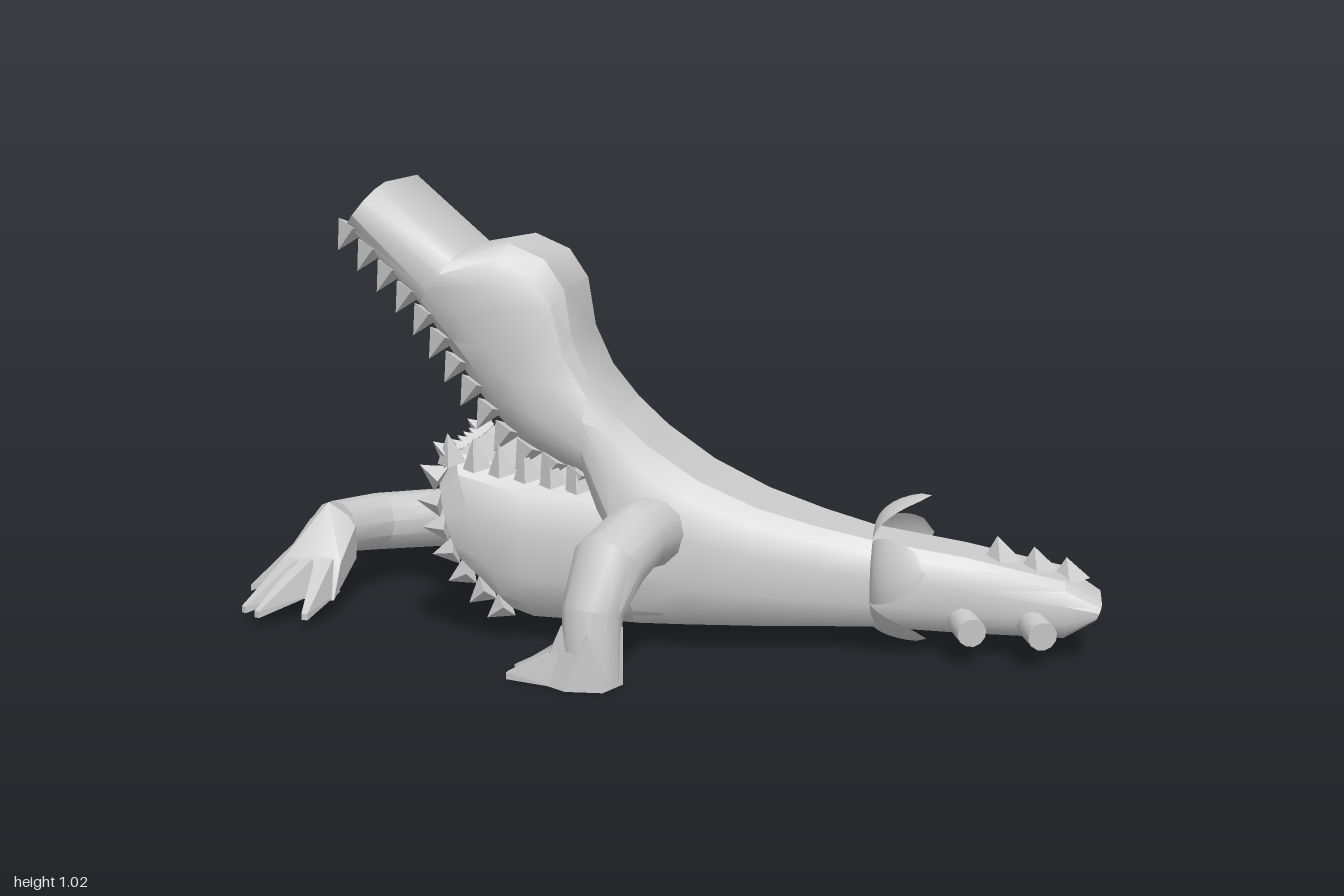
import * as THREE from 'three';
import { toCreasedNormals } from 'three/addons/utils/BufferGeometryUtils.js';
import { ConvexGeometry } from 'three/addons/geometries/ConvexGeometry.js';

const mat = new THREE.MeshStandardMaterial({ color: 0xcccccc });
const flatMat = new THREE.MeshStandardMaterial({ color: 0xcccccc, flatShading: true });
const thinMat = new THREE.MeshStandardMaterial({ color: 0xcccccc, side: THREE.DoubleSide });
const V = (x, y, z) => new THREE.Vector3(x, y, z);

function add(parent, name, geometry, material = mat) {
  const mesh = new THREE.Mesh(geometry, material);
  mesh.name = name;
  parent.add(mesh);
  return mesh;
}

// Skin over rings of n points each, closed at both ends
function skin(pos, n, crease) {
  const idx = [], last = pos.length / 3 - n;
  for (let i = 0; i < last; i += n)
    for (let j = 0; j < n; j++) {
      const a = i + j, b = i + (j + 1) % n;
      idx.push(a, b, a + n, b, b + n, a + n);
    }
  for (let j = 1; j < n - 1; j++) idx.push(0, j + 1, j, last, last + j, last + j + 1);
  const g = new THREE.BufferGeometry();
  g.setAttribute('position', new THREE.Float32BufferAttribute(pos, 3));
  g.setIndex(idx);
  return toCreasedNormals(g, crease);
}

// Half cross-section: [height fraction, width fraction], bottom to top
const half = [[0, 0.72], [0.1, 0.9], [0.3, 1], [0.62, 1], [0.87, 0.88], [1, 0.68]];
const section = [...half, ...half.slice().reverse().map(([v, w]) => [v, -w])];

// Stations: [topX, topY, bottomX, bottomY, halfWidth]
function loft(stations) {
  const pos = [];
  for (const [tx, ty, bx, by, w] of stations)
    for (const [v, z] of section) pos.push(bx + (tx - bx) * v, by + (ty - by) * v, z * w);
  return skin(pos, section.length, 0.6);
}

// Straight-segmented limb through joints [x, y, z, radius], with mitred rings
function limb(joints) {
  const pos = [], n = 12, pts = joints.map(j => V(j[0], j[1], j[2]));
  const normal = V(0, 1, 0);
  pts.forEach((p, i) => {
    const t = V(0, 0, 0);
    if (i > 0) t.add(p.clone().sub(pts[i - 1]).normalize());
    if (i < pts.length - 1) t.add(pts[i + 1].clone().sub(p).normalize());
    t.normalize();
    normal.addScaledVector(t, -normal.dot(t)).normalize();
    const side = t.clone().cross(normal);
    for (let j = 0; j < n; j++) {
      const a = j / n * Math.PI * 2, r = joints[i][3];
      pos.push(...p.clone().addScaledVector(normal, Math.cos(a) * r).addScaledVector(side, Math.sin(a) * r));
    }
  });
  return skin(pos, n, 0.6);
}

// Spike standing at p and pointing along dir
function spike(parent, name, p, dir, r, h) {
  const m = add(parent, name, new THREE.ConeGeometry(r, h, 4).translate(0, h / 2, 0), flatMat);
  m.position.copy(p);
  m.quaternion.setFromUnitVectors(V(0, 1, 0), dir.clone().normalize());
}

// Limb with a palm and wedge-shaped fingers; a finger runs from its knuckle to its tip
function arm(name, joints, palm, fingers) {
  const g = new THREE.Group();
  g.name = name;
  add(g, 'limb', limb(joints));
  add(g, 'palm', toCreasedNormals(new ConvexGeometry(palm.map(p => V(...p))), 0.6));
  for (const [from, to, height] of fingers) {
    const a = V(...from), b = V(...to), d = b.clone().sub(a);
    const w = V(-d.z, 0, d.x).setLength(0.036), up = V(0, height, 0), thin = V(0, 0.015, 0);
    const pts = [a.clone().add(w), a.clone().sub(w), a.clone().addScaledVector(w, 0.6).add(up),
      a.clone().addScaledVector(w, -0.6).add(up)];
    for (const s of [-0.2, 0.2]) pts.push(b.clone().addScaledVector(w, s), b.clone().addScaledVector(w, s).add(thin));
    add(g, 'finger', new ConvexGeometry(pts), flatMat);
  }
  return g;
}

export function createModel() {
  const model = new THREE.Group();
  model.name = 'gapingReptile';

  // Tail, back and raised upper jaw in one skin
  add(model, 'bodyAndUpperJaw', loft([
    [1.0, 0.13, 0.985, 0.095, 0.09], [0.92, 0.18, 0.92, 0.055, 0.105], [0.7, 0.225, 0.7, 0.055, 0.105],
    [0.5, 0.255, 0.5, 0.06, 0.11], [0.38, 0.285, 0.38, 0.06, 0.135], [0.25, 0.325, 0.25, 0.06, 0.165],
    [0.12, 0.385, 0.1, 0.06, 0.187], [0.01, 0.46, -0.02, 0.06, 0.197], [-0.06, 0.525, -0.07, 0.22, 0.197],
    [-0.12, 0.6, -0.13, 0.39, 0.193], [-0.16, 0.69, -0.27, 0.46, 0.187], [-0.177, 0.8, -0.34, 0.53, 0.185],
    [-0.22, 0.865, -0.39, 0.6, 0.185], [-0.3, 0.9, -0.43, 0.66, 0.185], [-0.41, 0.88, -0.5, 0.76, 0.182],
    [-0.58, 1.03, -0.665, 0.93, 0.18]]));

  // Lower jaw with a bulging chin
  add(model, 'lowerJaw', loft([
    [0.05, 0.37, 0.05, 0.06, 0.188], [-0.12, 0.38, -0.12, 0.06, 0.195], [-0.27, 0.39, -0.25, 0.062, 0.188],
    [-0.43, 0.43, -0.31, 0.08, 0.18], [-0.47, 0.37, -0.41, 0.17, 0.165]]));

  const teeth = new THREE.Group();
  teeth.name = 'teeth';
  model.add(teeth);

  // Teeth down both edges of the upper jaw and up both edges of the lower jaw
  const upperEdge = new THREE.CatmullRomCurve3([V(-0.65, 0.935, 0), V(-0.5, 0.775, 0), V(-0.39, 0.615, 0),
    V(-0.28, 0.475, 0), V(-0.14, 0.4, 0)]);
  const lowerEdge = new THREE.LineCurve3(V(-0.43, 0.41, 0), V(-0.14, 0.36, 0));
  for (const s of [-1, 1]) {
    for (let i = 0; i < 13; i++) {
      const p = upperEdge.getPointAt(i / 12);
      p.z = s * 0.145;
      spike(teeth, 'upperTooth', p, V(-0.5, -0.85, s * 0.1), 0.034, 0.065);
    }
    for (let i = 0; i < 6; i++) {
      const p = lowerEdge.getPointAt(i / 5);
      p.z = s * 0.15;
      spike(teeth, 'lowerTooth', p, V(-0.1, 1, s * 0.15), 0.034, 0.07);
    }
  }
  for (let k = -2; k <= 2; k++)
    spike(teeth, 'snoutTooth', V(-0.63, 0.93, k * 0.05), V(-0.1, -1, 0), 0.028, 0.06);

  // Rows of teeth over the chin, large at the sides and small between
  const chin = new THREE.CatmullRomCurve3([V(-0.43, 0.42, 0), V(-0.46, 0.36, 0), V(-0.445, 0.26, 0),
    V(-0.4, 0.17, 0), V(-0.31, 0.09, 0)]);
  for (let i = 0; i < 8; i++) {
    const p = chin.getPointAt(i / 7), t = chin.getTangentAt(i / 7);
    for (let k = -3; k <= 3; k++) {
      const size = Math.abs(k) === 3 ? 1 : 0.65;
      spike(teeth, 'chinTooth', V(p.x, p.y, k * 0.048), V(t.y, -t.x + 0.25, 0), 0.033 * size, 0.058 * size);
    }
  }

  // Left arm props the body up, right arm reaches far forward
  model.add(arm('leftArm',
    [[0.03, 0.27, 0.1, 0.085], [0.005, 0.285, 0.27, 0.075], [-0.03, 0.25, 0.365, 0.08], [-0.055, 0.16, 0.42, 0.065],
      [-0.055, 0.02, 0.425, 0.062]],
    [[0.01, 0.005, 0.42], [-0.02, 0.005, 0.485], [-0.1, 0.005, 0.49], [-0.17, 0.005, 0.44], [-0.18, 0.005, 0.38],
      [-0.16, 0.005, 0.31], [-0.08, 0.005, 0.32], [0.01, 0.13, 0.42], [-0.05, 0.13, 0.485], [-0.12, 0.13, 0.43],
      [-0.06, 0.13, 0.365]],
    [[[-0.11, 0.005, 0.35], [-0.16, 0.005, 0.23], 0.075], [[-0.12, 0.005, 0.37], [-0.21, 0.005, 0.3], 0.08],
      [[-0.12, 0.005, 0.4], [-0.235, 0.005, 0.36], 0.08], [[-0.12, 0.005, 0.43], [-0.24, 0.005, 0.42], 0.075]]));
  model.add(arm('rightArm',
    [[0.0, 0.25, -0.1, 0.1], [-0.03, 0.235, -0.2, 0.09], [-0.14, 0.175, -0.345, 0.077], [-0.31, 0.155, -0.4, 0.075],
      [-0.6, 0.15, -0.42, 0.073], [-0.755, 0.16, -0.295, 0.07], [-0.805, 0.185, -0.12, 0.062]],
    [[-0.745, 0.2, -0.12], [-0.865, 0.2, -0.12], [-0.81, 0.25, -0.1], [-0.865, 0.12, -0.12], [-0.75, 0.11, -0.12],
      [-0.745, 0.13, 0.01], [-0.89, 0.13, 0.01], [-0.91, 0.05, 0.05], [-0.75, 0.05, 0.05], [-0.82, 0.16, 0.0]],
    [[[-0.85, 0.09, -0.08], [-1.0, 0.03, -0.075], 0.1], [[-0.865, 0.06, 0.01], [-0.945, 0.03, 0.12], 0.08],
      [[-0.83, 0.06, 0.01], [-0.9, 0.03, 0.155], 0.08], [[-0.785, 0.06, 0.01], [-0.785, 0.03, 0.155], 0.08]]));

  // Five curled petals form the collar around the tail, flaring less below
  for (let q = 0; q < 5; q++) {
    const pos = [], idx = [], N = 8, M = 8, a0 = (0.5 + q * 0.4) * Math.PI;
    const reach = Math.sin(a0) < -0.5 ? 0.04 : 0.08;
    for (let i = 0; i <= N; i++)
      for (let j = 0; j <= M; j++) {
        const t = i / N, a = a0 + (j / M * 2 - 1) * (Math.PI / 5) * Math.sqrt(1 - t);
        const flare = reach * Math.sin(t * Math.PI / 2);
        pos.push(0.5 + 0.125 * (1 - Math.cos(t * Math.PI / 2)),
          0.16 + Math.sin(a) * (0.105 + flare), Math.cos(a) * (0.118 + flare));
        if (i < N && j < M) {
          const k = i * (M + 1) + j;
          idx.push(k, k + 1, k + M + 1, k + 1, k + M + 2, k + M + 1);
        }
      }
    const g = new THREE.BufferGeometry();
    g.setAttribute('position', new THREE.Float32BufferAttribute(pos, 3));
    g.setIndex(idx);
    g.computeVertexNormals();
    add(model, 'collarPetal', g, thinMat);
  }

  // Ridge spikes and stubby side pegs on the tail
  [0.78, 0.86, 0.93].forEach((x, i) =>
    spike(model, 'tailSpike', V(x, 0.2 - i * 0.017, 0), V(-0.15, 1, 0), 0.045, 0.06 - i * 0.004));
  for (const s of [-1, 1])
    for (const x of [0.71, 0.86]) {
      const peg = add(model, 'tailPeg', toCreasedNormals(new THREE.CylinderGeometry(0.032, 0.032, 0.09, 12), 0.6));
      peg.position.set(x, 0.085, s * 0.122);
      peg.quaternion.setFromUnitVectors(V(0, 1, 0), V(0.35, -0.1, s).normalize());
    }
  return model;
}
